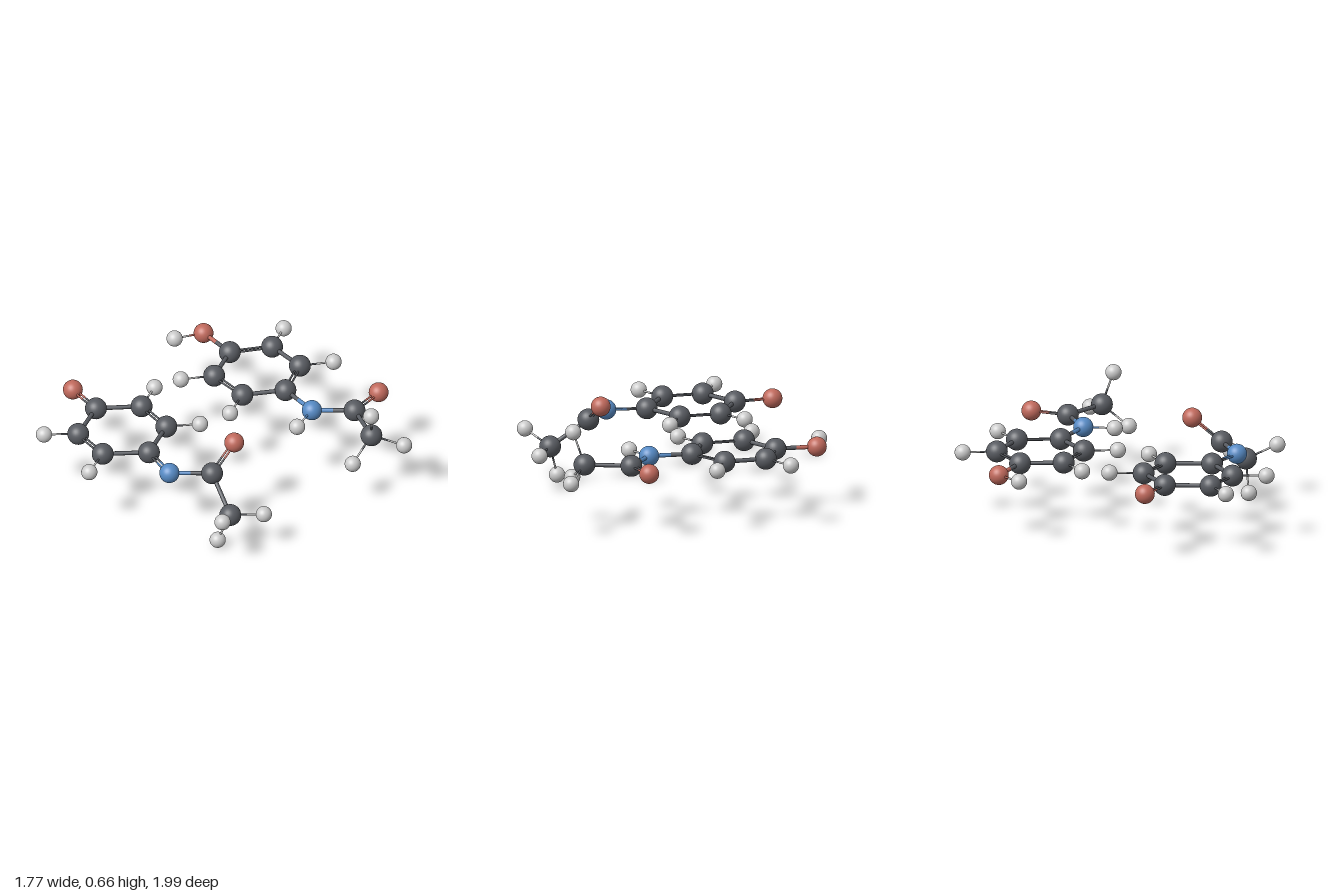
import * as THREE from 'three';

// element: [name, radius, colour]
const ELEMENTS = {
  C: ['carbon', 0.066, 0x585b61],
  O: ['oxygen', 0.06, 0xc0695c],
  N: ['nitrogen', 0.061, 0x568ac4],
  H: ['hydrogen', 0.049, 0xcccccc],
};
const SINGLE = 0.013, THIN = 0.006, GAP = 0.011;

const materials = {};
const spheres = {};
for (const key in ELEMENTS) {
  materials[key] = new THREE.MeshStandardMaterial({ color: ELEMENTS[key][2] });
  spheres[key] = new THREE.SphereGeometry(ELEMENTS[key][1], 32, 20);
}

// atoms as id: [x, y, z]; the first letter of the id is the element
const hydroxyMolecule = {
  atoms: {
    O1: [-0.776, 0.388, -0.5], H1: [-0.836, 0.39, -0.325],
    C1: [-0.517, 0.393, -0.5], C2: [-0.396, 0.4, -0.73], C3: [-0.135, 0.403, -0.74],
    C4: [0.01, 0.402, -0.517], C5: [-0.116, 0.398, -0.285], C6: [-0.38, 0.395, -0.274],
    H2: [-0.507, 0.397, -0.905], H3: [-0.042, 0.403, -0.926],
    H5: [-0.01, 0.4, -0.108], H6: [-0.475, 0.394, -0.092],
    N1: [0.277, 0.407, -0.512], H4: [0.356, 0.405, -0.338],
    C7: [0.44, 0.41, -0.712], O2: [0.388, 0.416, -0.937],
    C8: [0.712, 0.415, -0.63],
    H7: [0.836, 0.343, -0.784], H8: [0.77, 0.61, -0.583], H9: [0.744, 0.295, -0.462],
  },
  bonds: 'O1-H1 O1-C1 C1=C2 C2-C3 C3=C4 C4-C5 C5=C6 C6-C1 C2-H2 C3-H3 C5-H5 C6-H6 ' +
    'C4-N1 N1-H4 N1-C7 C7=O2 C7-C8 C8-H7 C8-H8 C8-H9',
};
const quinoneMolecule = {
  atoms: {
    O1: [-0.764, 0.42, 0.51],
    C1: [-0.53, 0.415, 0.515], C2: [-0.38, 0.413, 0.282], C3: [-0.126, 0.41, 0.29],
    C4: [0.016, 0.406, 0.533], C5: [-0.142, 0.408, 0.765], C6: [-0.393, 0.41, 0.757],
    H2: [-0.483, 0.417, 0.103], H3: [-0.02, 0.412, 0.114],
    H5: [-0.042, 0.408, 0.945], H6: [-0.51, 0.415, 0.929],
    N1: [0.261, 0.407, 0.567],
    C7: [0.425, 0.41, 0.367], O2: [0.398, 0.54, 0.177],
    C8: [0.654, 0.246, 0.406],
    H7: [0.765, 0.24, 0.235], H8: [0.772, 0.327, 0.557], H9: [0.597, 0.052, 0.458],
  },
  bonds: 'O1=C1 C1-C2 C2=C3 C3-C4 C4-C5 C5=C6 C6-C1 C2-H2 C3-H3 C5-H5 C6-H6 ' +
    'C4=N1 N1-C7 C7=O2 C7-C8 C8-H7 C8-H8 C8-H9',
};

// straight rod between two points
function rod(a, b, radius, material, name) {
  const dir = b.clone().sub(a);
  const mesh = new THREE.Mesh(new THREE.CylinderGeometry(radius, radius, dir.length(), 16), material);
  mesh.position.copy(a).add(b).multiplyScalar(0.5);
  mesh.quaternion.setFromUnitVectors(new THREE.Vector3(0, 1, 0), dir.normalize());
  mesh.name = name;
  return mesh;
}

// a bond is split halfway, each half taking the colour of its atom
function buildBond(idA, idB, double, points) {
  const group = new THREE.Group();
  group.name = double ? 'doubleBond' : 'singleBond';
  const a = points[idA], b = points[idB];
  const side = b.clone().sub(a).cross(new THREE.Vector3(0, 1, 0)).normalize().multiplyScalar(GAP);
  const radius = double || idA[0] === 'H' || idB[0] === 'H' ? THIN : SINGLE;
  for (const s of double ? [-1, 1] : [0]) {
    const start = a.clone().addScaledVector(side, s);
    const end = b.clone().addScaledVector(side, s);
    const mid = start.clone().lerp(end, 0.5);
    group.add(rod(start, mid, radius, materials[idA[0]], 'bondHalf'));
    group.add(rod(mid, end, radius, materials[idB[0]], 'bondHalf'));
  }
  return group;
}

function buildMolecule(name, { atoms, bonds }) {
  const group = new THREE.Group();
  group.name = name;
  const points = {};
  for (const id in atoms) {
    points[id] = new THREE.Vector3(...atoms[id]);
    const atom = new THREE.Mesh(spheres[id[0]], materials[id[0]]);
    atom.position.copy(points[id]);
    atom.name = ELEMENTS[id[0]][0] + 'Atom' + id[1];
    group.add(atom);
  }
  for (const bond of bonds.split(' ')) {
    group.add(buildBond(bond.slice(0, 2), bond.slice(3), bond[2] === '=', points));
  }
  return group;
}

export function createModel() {
  const model = new THREE.Group();
  model.name = 'moleculePair';
  model.add(buildMolecule('backMolecule', hydroxyMolecule));
  model.add(buildMolecule('frontMolecule', quinoneMolecule));
  return model;
}
